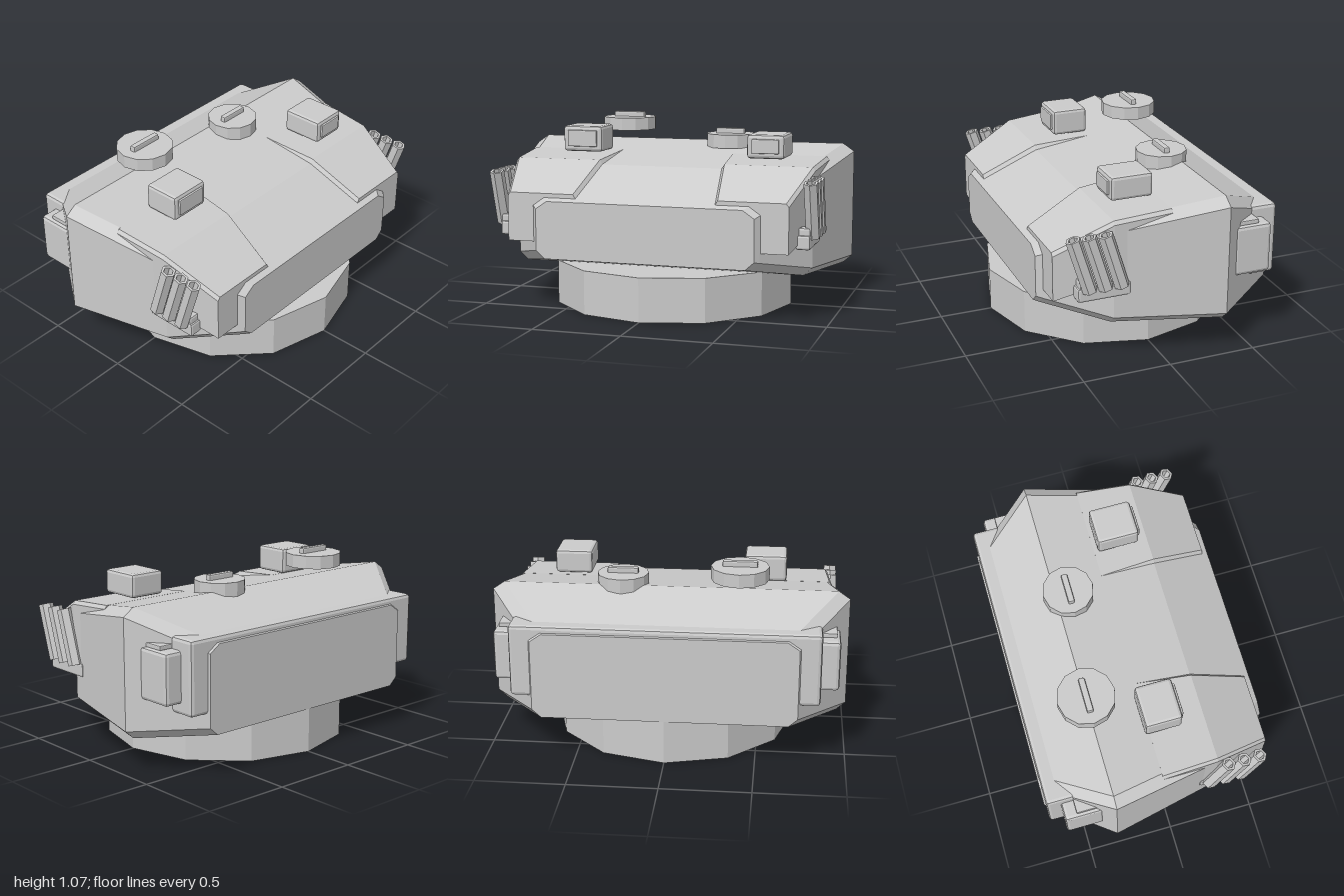
import * as THREE from 'three';
import { RoundedBoxGeometry } from 'three/addons/geometries/RoundedBoxGeometry.js';

const material = new THREE.MeshStandardMaterial({ color: 0xcccccc, flatShading: true });

// Skin convex cross-sections, ordered front to back; corners run counterclockwise seen from +z.
function loft(sections) {
  const n = sections[0].points.length;
  const last = sections.length - 1;
  const positions = [];
  const index = [];
  sections.forEach(({ z, points }, s) => {
    points.forEach(([x, y]) => positions.push(x, y, z));
    if (s === last) return;
    for (let i = 0; i < n; i++) {
      const a = s * n + i, b = s * n + (i + 1) % n;
      index.push(a, a + n, b, b, a + n, b + n);
    }
  });
  for (let k = 1; k < n - 1; k++) {
    index.push(0, k, k + 1);
    index.push(last * n, last * n + k + 1, last * n + k);
  }
  const geometry = new THREE.BufferGeometry();
  geometry.setAttribute('position', new THREE.Float32BufferAttribute(positions, 3));
  geometry.setIndex(index);
  const flat = geometry.toNonIndexed();
  flat.computeVertexNormals();
  return flat;
}

function add(parent, name, geometry, x = 0, y = 0, z = 0) {
  const mesh = new THREE.Mesh(geometry, material);
  mesh.name = name;
  mesh.position.set(x, y, z);
  parent.add(mesh);
  return mesh;
}

// Chamfered box given by its limits on each axis
function box(parent, name, [x0, x1], [y0, y1], [z0, z1], bevel = 0.015) {
  const size = [x1 - x0, y1 - y0, z1 - z0];
  const geometry = bevel ? new RoundedBoxGeometry(...size, 1, bevel) : new THREE.BoxGeometry(...size);
  return add(parent, name, geometry, (x0 + x1) / 2, (y0 + y1) / 2, (z0 + z1) / 2);
}

const span = (side, a, b) => (side > 0 ? [a, b] : [-b, -a]);

function hexagon(shape, r) {
  for (let i = 0; i < 6; i++) {
    const a = (i * Math.PI) / 3 + Math.PI / 6;
    shape[i ? 'lineTo' : 'moveTo'](r * Math.cos(a), r * Math.sin(a));
  }
  shape.closePath();
  return shape;
}

export function createModel() {
  const group = new THREE.Group();
  group.name = 'turret';

  // Twelve-sided turret ring
  add(group, 'turretRing', new THREE.CylinderGeometry(0.7, 0.7, 0.25, 12), 0, 0.125, 0);

  // Armoured shell: z, side half-width, bottom y, top y
  const shell = [
    [0.63, 0.625, 0.31, 0.635],
    [0.6, 0.65, 0.303, 0.65],
    [0.28, 0.875, 0.23, 0.81],
    [-0.33, 1, 0.2, 0.91],
    [-0.7, 0.73, 0.25, 0.74],
  ].map(([z, w, yb, yt]) => {
    const half = [[w - 0.05, yb], [w, yb + 0.045], [w, yt - 0.045], [w - 0.065, yt]];
    return { z, points: [...half, ...half.map(([x, y]) => [-x, y]).reverse()] };
  });
  add(group, 'shell', loft(shell));

  // Rear stowage bin across the full width
  box(group, 'rearBin', [-0.85, 0.85], [0.37, 0.78], [-0.69, -0.52], 0.02);

  for (const side of [1, -1]) {
    const prefix = side > 0 ? 'left' : 'right';

    // Cheek armour: z, inner x, outer x, bottom y, top y
    const cheek = [
      [0.597, 0.39, 0.805, 0.4, 0.675],
      [0.28, 0.345, 0.885, 0.5, 0.835],
      [-0.04, 0.315, 0.905, 0.6, 0.863],
    ].map(([z, xi, xo, yb, yt]) => {
      const lip = 0.025;
      const points = [[xi, yb], [xo, yb], [xo, yt - 0.02], [xo - 0.015, yt], [xi + lip, yt], [xi, yt - 0.04]];
      return { z, points: side > 0 ? points : points.map(([x, y]) => [-x, y]).reverse() };
    });
    add(group, prefix + 'CheekArmour', loft(cheek));

    // Smoke launcher: bracket and three hollow hexagonal tubes leaning forward
    const launcher = new THREE.Group();
    launcher.name = prefix + 'SmokeLauncher';
    group.add(launcher);
    box(launcher, 'launcherBracket', span(side, 0.82, 0.9), [0.41, 0.49], [0.19, 0.49], 0.012);
    box(launcher, 'launcherFoot', span(side, 0.83, 0.9), [0.42, 0.53], [0.41, 0.48], 0.012);
    const profile = hexagon(new THREE.Shape(), 0.041);
    profile.holes.push(hexagon(new THREE.Path(), 0.026));
    const tube = new THREE.ExtrudeGeometry(profile, { depth: 0.32, bevelEnabled: false });
    tube.rotateX(-Math.PI / 2);
    for (let i = 0; i < 3; i++) {
      const mesh = add(launcher, 'launcherTube', tube, side * 0.905, 0.475, 0.425 - i * 0.09);
      mesh.rotation.x = 0.3;
    }

    // Side stowage box with a thin lid
    box(group, prefix + 'SideBox', span(side, 0.82, 0.95), [0.43, 0.715], [-0.61, -0.39], 0.02);
    box(group, prefix + 'SideBoxLid', span(side, 0.83, 0.93), [0.715, 0.74], [-0.54, -0.39], 0.005);
  }

  // Roof sights with a framed window on the front
  for (const [name, x, top, z0, z1] of [
    ['rightSight', -0.525, 1.015, -0.065, 0.145],
    ['leftSight', 0.59, 1.0, -0.018, 0.225],
  ]) {
    const w = name === 'rightSight' ? 0.12 : 0.108;
    box(group, name, [x - w, x + w], [0.865, top], [z0, z1], 0.018);
    box(group, name + 'Window', [x - w + 0.03, x + w - 0.03], [0.895, top - 0.025], [z1 - 0.02, z1 + 0.012], 0.005);
  }

  // Roof hatches with handles: x, z, radius, bottom y, top y
  for (const [name, x, z, r, y0, y1] of [
    ['commanderHatch', -0.39, -0.33, 0.162, 0.965, 1.04],
    ['loaderHatch', 0.27, -0.255, 0.145, 0.88, 0.96],
  ]) {
    add(group, name, new THREE.CylinderGeometry(r, r, y1 - y0, 12), x, (y0 + y1) / 2, z);
    box(group, name + 'Handle', [x - r * 0.6, x + r * 0.6], [y1 - 0.01, y1 + 0.031], [z - 0.018, z + 0.018], 0.008);
  }

  return group;
}
